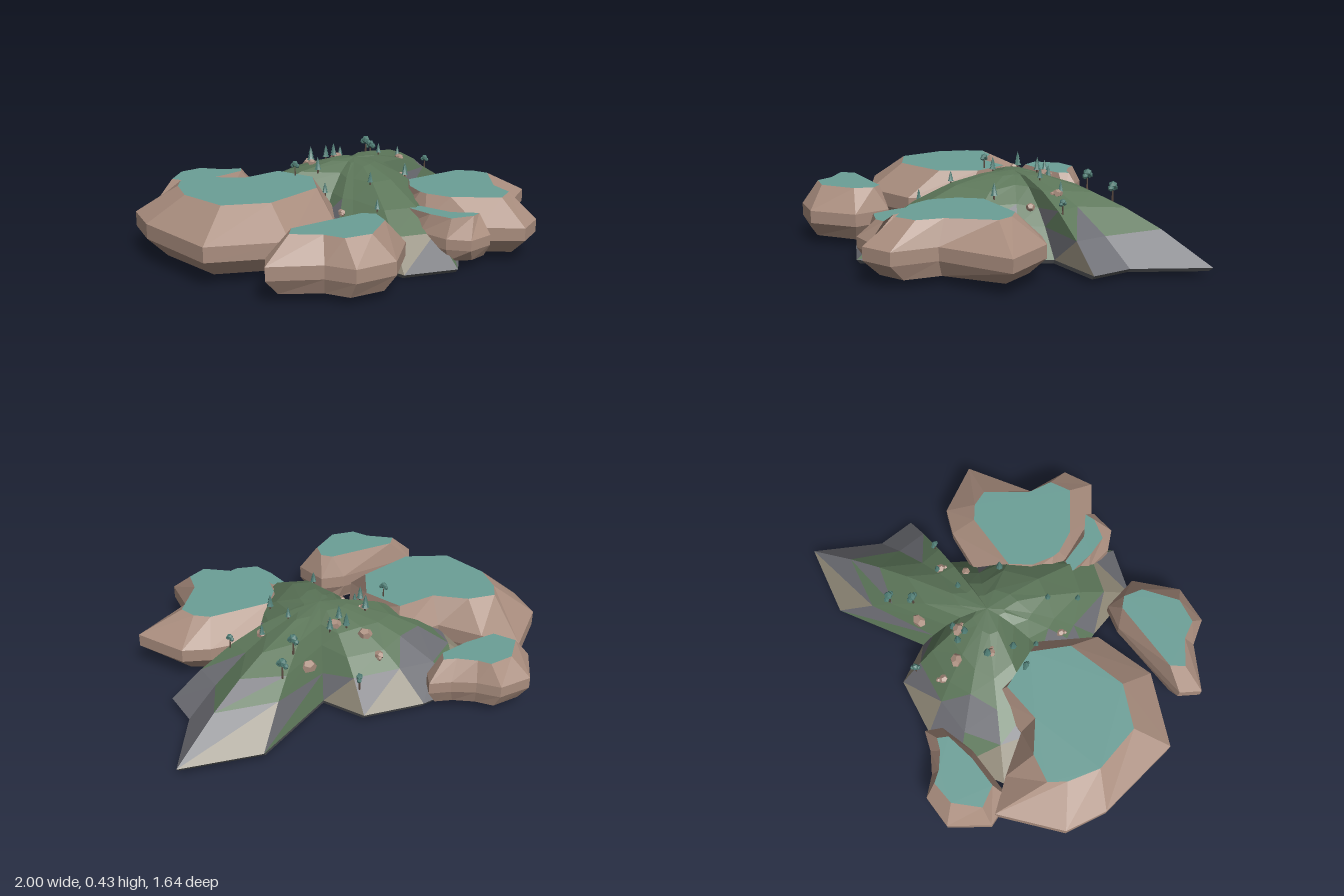
import * as THREE from 'three';

const mat = (color) => new THREE.MeshStandardMaterial({ color, flatShading: true, roughness: 0.9 });
const ROCK = mat(0xa98d7e), WATER = mat(0x6b9f97), GRASS = mat(0x5c7659), STONE = mat(0x6b6c72);
const SAND = mat(0x8d8675), BASE = mat(0x55575a), LEAF = mat(0x4d7a72), TRUNK = mat(0x5a4a40);

let seed = 7;
const rnd = () => (seed = (seed * 16807) % 2147483647) / 2147483647;

function meshFrom(tris, material, name) {
  const g = new THREE.BufferGeometry();
  g.setAttribute('position', new THREE.Float32BufferAttribute(tris.flat(2), 3));
  g.computeVertexNormals();
  const m = new THREE.Mesh(g, material);
  m.name = name;
  return m;
}

// Triangles of a wall between two rings (counter-clockwise from above, lower ring first)
function wall(a, b) {
  return a.flatMap((p, i) => {
    const j = (i + 1) % a.length;
    return [[p, a[j], b[j]], [p, b[j], b[i]]];
  });
}

function cap(ring, up) {
  const pts = ring.map(([x, , z]) => new THREE.Vector2(x, -z));
  return THREE.ShapeUtils.triangulateShape(pts, []).map(([a, b, c]) =>
    up ? [ring[a], ring[b], ring[c]] : [ring[a], ring[c], ring[b]]);
}

const isCCW = (pts) => THREE.ShapeUtils.area(pts.map(([x, z]) => new THREE.Vector2(x, -z))) > 0;

// Rock mass with a chamfered rim and a flat pool on top
function poolRock(name, outer, inner, top) {
  if (!isCCW(outer)) { outer = [...outer].reverse(); inner = [...inner].reverse(); }
  const y0 = 0.038, h = top - y0;
  const ring = (k, y) => outer.map(([x, z], i) =>
    [x + (inner[i][0] - x) * k, y, z + (inner[i][1] - z) * k]);
  const rings = [ring(0.5, y0), ring(0, y0 + h * 0.3), ring(0, y0 + h * 0.55), ring(1, top)];
  const tris = cap(rings[0], false);
  for (let i = 0; i < 3; i++) tris.push(...wall(rings[i], rings[i + 1]));
  const g = new THREE.Group();
  g.name = name;
  g.add(meshFrom(tris, ROCK, 'rockBody'), meshFrom(cap(rings[3], true), WATER, 'poolSurface'));
  return g;
}

// Star-shaped hill rising in convex ridges to a central peak
function hill() {
  const rim = [[1, -0.625], [0.84, -0.3], [0.86, -0.105], [0.56, -0.08], [0.48, 0.06], [0.44, 0.35],
    [0.12, 0.715], [-0.125, 0.64], [-0.21, 0.35], [-0.25, 0.26], [-0.23, 0.08], [-0.68, -0.22],
    [-0.6, -0.47], [-0.4, -0.6], [-0.18, -0.64], [0.115, -0.61], [0.23, -0.42], [0.63, -0.68]].reverse();
  const cx = 0.1, cz = -0.1, peak = 0.375;
  const floor = (x, z) => 0.011 + 0.01 * x - 0.015 * z;
  const ring = (t) => rim.map(([x, z]) => {
    const s = t < 1 ? t + (rnd() - 0.5) * 0.07 : 1;
    const y0 = floor(x, z) + 0.018;
    return [cx + (x - cx) * s, y0 + (peak - y0) * (1 - s * s), cz + (z - cz) * s];
  });
  const rings = [1, 0.79, 0.6, 0.4, 0.17].map(ring);
  const bottom = rim.map(([x, z]) => [cx + (x - cx) * 0.98, floor(x, z), cz + (z - cz) * 0.98]);
  const grass = [], stone = [], sand = [];
  // Bare stone and sand around the foot, grass above
  wall(rings[0], rings[1]).forEach((t) => {
    const r = rnd();
    (r < 0.5 ? stone : r < 0.85 ? sand : grass).push(t);
  });
  wall(rings[1], rings[2]).forEach((t) => {
    const backLeft = t[0][0] < 0 && t[0][2] < -0.3;
    (rnd() < (backLeft ? 0.6 : 0.12) ? stone : grass).push(t);
  });
  grass.push(...wall(rings[2], rings[3]), ...wall(rings[3], rings[4]));
  const last = rings[4];
  last.forEach((p, i) => grass.push([p, last[(i + 1) % last.length], [cx, peak, cz]]));
  const g = new THREE.Group();
  g.name = 'hill';
  g.add(meshFrom(grass, GRASS, 'grassSlopes'), meshFrom(stone, STONE, 'stoneSlopes'),
    meshFrom(sand, SAND, 'sandySlopes'),
    meshFrom([...wall(bottom, rings[0]), ...cap(bottom, false)], BASE, 'hillBase'));
  return g;
}

function add(parent, geometry, material, x, y, z, name) {
  const m = new THREE.Mesh(geometry, material);
  m.position.set(x, y, z);
  m.name = name;
  parent.add(m);
  return m;
}

function conifer() {
  const g = new THREE.Group();
  add(g, new THREE.CylinderGeometry(0.004, 0.005, 0.03, 5), TRUNK, 0, 0.01, 0, 'trunk');
  for (let i = 0; i < 3; i++)
    add(g, new THREE.ConeGeometry(0.018 - i * 0.004, 0.03, 6), LEAF, 0, 0.032 + i * 0.016, 0, 'needles');
  return g;
}

function broadleaf() {
  const g = new THREE.Group();
  add(g, new THREE.CylinderGeometry(0.004, 0.006, 0.06, 5), TRUNK, 0, 0.025, 0, 'trunk');
  [[0, 0.08, 0, 0.022], [0.017, 0.066, 0.008, 0.015], [-0.016, 0.068, -0.008, 0.016]]
    .forEach(([x, y, z, r]) => add(g, new THREE.IcosahedronGeometry(r, 0), LEAF, x, y, z, 'crown'));
  return g;
}

function boulder() {
  const g = new THREE.Group();
  add(g, new THREE.DodecahedronGeometry(0.03, 0), ROCK, 0, 0.006, 0, 'stone').scale.set(1.1, 0.85, 0.9);
  add(g, new THREE.DodecahedronGeometry(0.015, 0), ROCK, 0.03, 0.002, 0.012, 'stone');
  return g;
}

export function createModel() {
  const model = new THREE.Group();
  model.name = 'island';
  model.add(hill());

  // Pools: outer outline, matching water outline, top height
  model.add(
    poolRock('largePool',
      [[-0.72, -0.6], [-0.97, -0.37], [-1, -0.16], [-0.92, 0.275], [-0.575, 0.415], [-0.275, 0.31],
        [-0.13, 0.05], [-0.225, -0.3], [-0.465, -0.28], [-0.6, -0.46]],
      [[-0.75, -0.33], [-0.8, -0.25], [-0.835, -0.09], [-0.77, 0.15], [-0.565, 0.235], [-0.27, 0.14],
        [-0.185, -0.04], [-0.27, -0.23], [-0.47, -0.205], [-0.61, -0.31]], 0.325),
    poolRock('frontLeftPool',
      [[0.3, 0], [0.62, 0.02], [0.75, 0.065], [0.895, 0.3], [0.595, 0.5], [0.59, 0.715], [0.45, 0.79],
        [0.28, 0.67], [0.14, 0.44], [0.125, 0.3], [0.2, 0.13]],
      [[0.27, 0.14], [0.575, 0.13], [0.645, 0.18], [0.68, 0.26], [0.55, 0.455], [0.535, 0.58], [0.44, 0.635],
        [0.245, 0.5], [0.185, 0.39], [0.18, 0.35], [0.2, 0.24]], 0.285),
    poolRock('lowFrontPool',
      [[0.07, 0.37], [0.2, 0.4], [0.3, 0.62], [0.31, 0.71], [0.18, 0.73], [0.1, 0.65], [0.065, 0.5]],
      [[0.075, 0.395], [0.14, 0.4], [0.2, 0.56], [0.3, 0.64], [0.25, 0.66], [0.14, 0.635], [0.1, 0.53]], 0.235),
    poolRock('frontRightPool',
      [[-0.73, 0.48], [-0.785, 0.575], [-0.57, 0.69], [-0.49, 0.805], [-0.295, 0.815], [-0.12, 0.64],
        [-0.165, 0.455], [-0.29, 0.43]],
      [[-0.61, 0.49], [-0.655, 0.55], [-0.54, 0.635], [-0.49, 0.72], [-0.365, 0.735], [-0.215, 0.615],
        [-0.195, 0.52], [-0.24, 0.475]], 0.285),
    poolRock('backPool',
      [[-0.75, -0.64], [-0.635, -0.815], [-0.47, -0.825], [-0.39, -0.745], [-0.29, -0.69], [-0.19, -0.66],
        [-0.225, -0.58], [-0.4, -0.52], [-0.69, -0.5]],
      [[-0.67, -0.635], [-0.57, -0.745], [-0.45, -0.76], [-0.41, -0.71], [-0.335, -0.655], [-0.275, -0.635],
        [-0.3, -0.585], [-0.45, -0.55], [-0.61, -0.54]], 0.25));

  // Trees and boulders dropped onto the ground below them
  model.updateMatrixWorld(true);
  const ground = [...model.children];
  const ray = new THREE.Raycaster();
  const scatter = (name, make, spots) => spots.forEach(([x, z, s = 1]) => {
    ray.set(new THREE.Vector3(x, 2, z), new THREE.Vector3(0, -1, 0));
    const hit = ray.intersectObjects(ground, true)[0];
    const item = make();
    item.name = name;
    item.position.set(x, hit ? hit.point.y : 0.2, z);
    item.rotation.y = rnd() * 6.28;
    item.scale.setScalar(s);
    model.add(item);
  });
  scatter('boulder', boulder, [[-0.015, -0.355, 1.1], [0.1, -0.27], [0.29, -0.385, 1.25], [-0.09, -0.2, 0.7],
    [0.43, -0.165, 0.8], [0.37, -0.055, 0.8], [-0.04, -0.45, 0.8], [-0.15, 0.17, 0.7]]);
  scatter('broadleafTree', broadleaf, [[0.355, -0.37], [0.445, -0.457], [0.1, -0.53, 0.8], [-0.245, -0.105, 0.75],
    [0.565, -0.115, 0.7]]);
  scatter('conifer', conifer, [[-0.12, -0.095], [-0.085, -0.22, 1.1], [0.055, -0.3], [0.07, -0.25], [0.13, -0.28],
    [0.285, -0.15, 0.8], [0, 0.19, 0.8], [-0.06, 0.335, 0.8], [0.28, 0.09], [-0.15, 0.02, 0.8], [0.43, -0.18, 0.8]]);
  return model;
}
